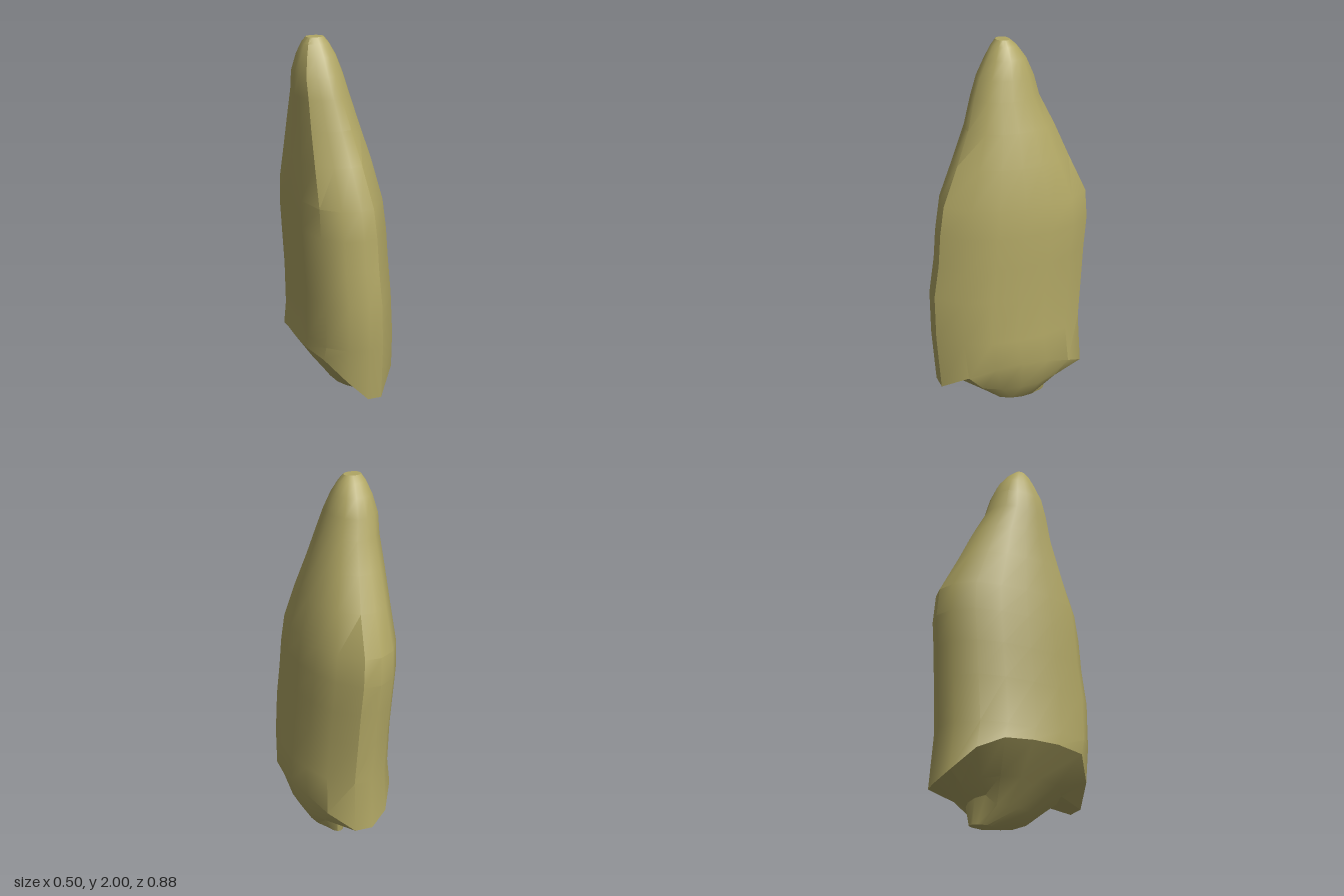
import * as THREE from 'three';
import { toCreasedNormals } from 'three/addons/utils/BufferGeometryUtils.js';

// Cross-section outline [x, z], anticlockwise seen from above
const OUTLINE = [
  [-0.25, 0], [-0.245, 0.15], [-0.203, 0.32], [-0.105, 0.41],
  [0, 0.44], [0.08, 0.43], [0.197, 0.3], [0.238, 0.15],
  [0.25, 0], [0.233, -0.15], [0.185, -0.3], [0.08, -0.42],
  [-0.015, -0.44], [-0.12, -0.4], [-0.205, -0.3], [-0.24, -0.16],
];

// Heights of the uneven lower rim and of the ring inside it
const RIM_Y = [0.39, 0.39, 0.38, 0.27, 0.16, 0.15, 0.25, 0.3, 0.32, 0.3, 0.25, 0.17, 0.17, 0.22, 0.32, 0.38];
const INNER_Y = [0.23, 0.24, 0.23, 0.2, 0.18, 0.17, 0.15, 0.14, 0.14, 0.14, 0.15, 0.16, 0.17, 0.18, 0.2, 0.22];

// Levels of the body: y, xMin, xMax, zMin, zMax
const LEVELS = [
  [0.46, -0.243, 0.24, -0.4, 0.44],
  [0.7, -0.24, 0.225, -0.415, 0.44],
  [0.88, -0.245, 0.218, -0.425, 0.41],
  [1.05, -0.248, 0.21, -0.44, 0.395],
  [1.2, -0.245, 0.195, -0.43, 0.37],
  [1.4, -0.238, 0.15, -0.335, 0.285],
  [1.57, -0.23, 0.1, -0.26, 0.215],
  [1.72, -0.226, 0.05, -0.185, 0.17],
  [1.82, -0.223, 0.022, -0.16, 0.135],
  [1.91, -0.2, -0.01, -0.12, 0.09],
  [1.97, -0.178, -0.045, -0.075, 0.055],
  [2.0, -0.16, -0.07, -0.04, 0.03],
];

// Shrinks the outline about a centre to form an underside ring
function underRing(scale, cx, cz, height) {
  return OUTLINE.map(([x, z], j) => [cx + x * scale, height(j), cz + z * scale]);
}

function bodyGeometry() {
  const rings = [
    underRing(0.17, 0.05, -0.115, () => 0.015),
    underRing(0.4, 0.045, -0.03, (j) => 0.07 - 0.035 * OUTLINE[j][0] / 0.25 + (OUTLINE[j][1] < -0.2 ? 0.05 : 0)),
    underRing(0.7, 0.03, -0.01, (j) => INNER_Y[j]),
    OUTLINE.map(([x, z], j) => [x, RIM_Y[j], z * 0.955]),
    ...LEVELS.map(([y, x0, x1, z0, z1]) => OUTLINE.map(([x, z]) => [
      (x0 + x1) / 2 + (x / 0.5) * (x1 - x0), y,
      (z0 + z1) / 2 + (z / 0.88) * (z1 - z0),
    ])),
  ];
  const n = OUTLINE.length;
  const points = rings.flat();
  const bottom = points.push([0.05, 0, -0.12]) - 1;
  const top = points.push([-0.115, 2, -0.005]) - 1;
  const index = [];
  const last = (rings.length - 1) * n;
  for (let j = 0; j < n; j++) {
    const k = (j + 1) % n;
    index.push(bottom, k, j, last + j, last + k, top);
    for (let r = 0; r < last; r += n) {
      index.push(r + j, r + k, r + n + k, r + j, r + n + k, r + n + j);
    }
  }
  const geometry = new THREE.BufferGeometry();
  geometry.setAttribute('position', new THREE.Float32BufferAttribute(points.flat(), 3));
  geometry.setIndex(index);
  return toCreasedNormals(geometry, 0.6);
}

export function createModel() {
  const model = new THREE.Group();
  model.name = 'taperedPod';
  const olive = new THREE.MeshStandardMaterial({ color: 0xb0a664 });
  olive.name = 'olive';

  // Tapered body with rounded tip and ragged lower end
  const body = new THREE.Mesh(bodyGeometry(), olive);
  body.name = 'body';
  model.add(body);
  return model;
}
